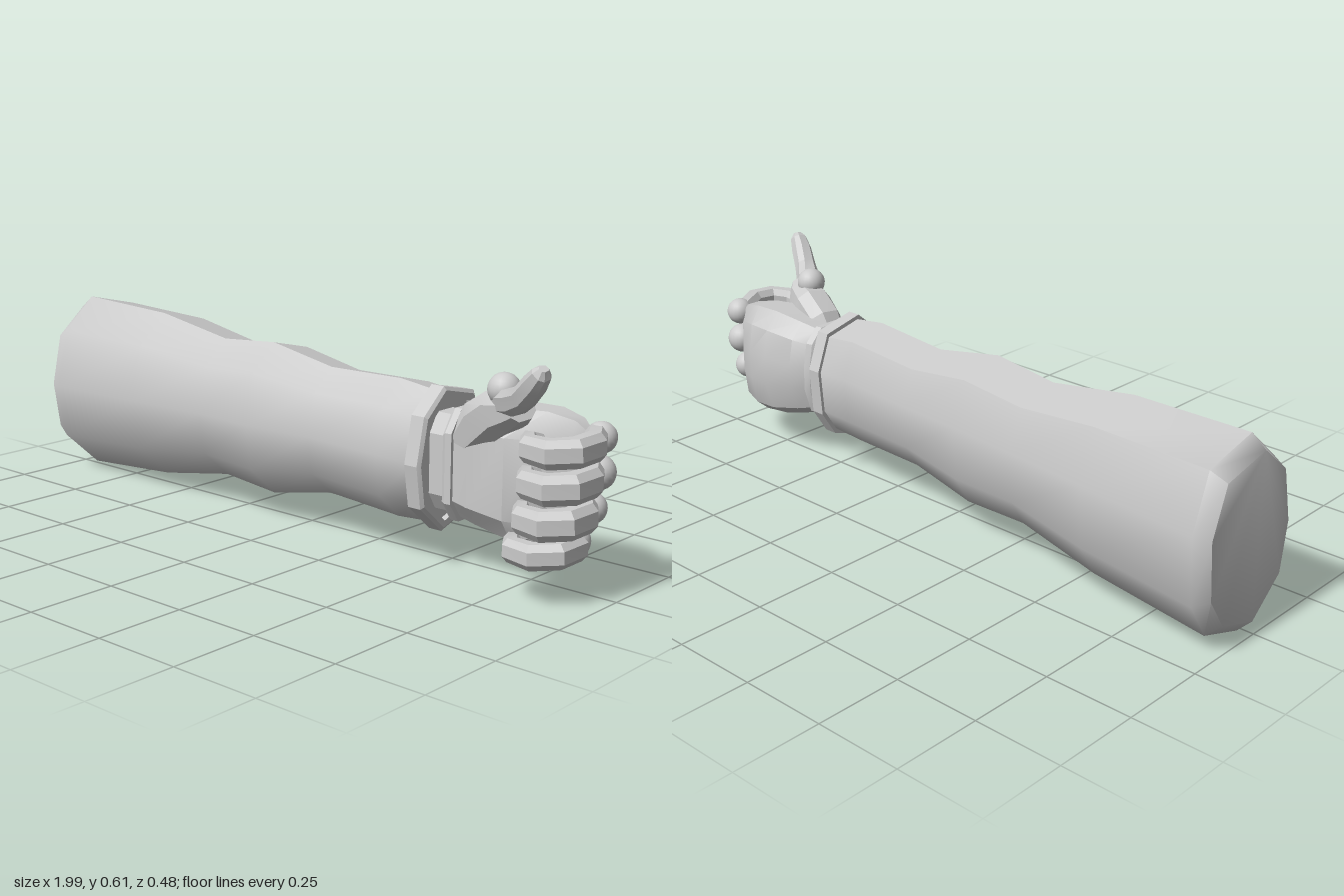
import * as THREE from 'three';
import { toCreasedNormals } from 'three/addons/utils/BufferGeometryUtils.js';

const material = new THREE.MeshStandardMaterial({ color: 0xcccccc });

// Closed skin over a series of rings, turned so that it faces outward
function loft(rings, crease) {
  const n = rings[0].length, last = rings.length - 1;
  const pts = rings.flat(), index = [];
  for (let i = 0; i < last; i++) {
    for (let j = 0; j < n; j++) {
      const k = (j + 1) % n;
      const a = i * n + j, b = i * n + k, c = a + n, d = b + n;
      index.push(a, b, d, a, d, c);
    }
  }
  for (let j = 1; j < n - 1; j++) {
    index.push(0, j + 1, j);
    index.push(last * n, last * n + j, last * n + j + 1);
  }
  let volume = 0;
  const cross = new THREE.Vector3();
  for (let i = 0; i < index.length; i += 3) {
    volume += pts[index[i]].dot(cross.crossVectors(pts[index[i + 1]], pts[index[i + 2]]));
  }
  if (volume < 0) index.reverse();
  const geo = new THREE.BufferGeometry().setFromPoints(pts);
  geo.setIndex(index);
  return toCreasedNormals(geo, crease);
}

// Irregular outline of the arm as [z, y] in the range -1 to 1
const armOutline = [[0.22, 1], [-0.7, 0.85], [-1, 0.28], [-0.92, -0.43], [-0.57, -0.82],
  [0.22, -1], [0.87, -0.6], [1, 0], [0.8, 0.65]];
const handOutline = [[0.55, 1], [-0.4, 1], [-0.85, 0.7], [-1, 0.2], [-1, -0.3],
  [-0.75, -0.8], [-0.2, -1], [0.6, -1], [1, -0.65], [1, 0.6]];

// Each section is [x, bottom, top, back, front]
function sections(list, outline) {
  return list.map(([x, y0, y1, z0, z1]) => outline.map(([z, y]) => new THREE.Vector3(
    x, (y0 + y1) / 2 + y * (y1 - y0) / 2, (z0 + z1) / 2 + z * (z1 - z0) / 2)));
}

// Eight-sided limb along a path of [x, y, z, thickness, breadth]; breadth runs along ref
function limb(path, ref) {
  const p = path.map(q => new THREE.Vector3(q[0], q[1], q[2]));
  const corners = [[0.5, 1], [1, 0.5], [1, -0.5], [0.5, -1], [-0.5, -1], [-1, -0.5], [-1, 0.5], [-0.5, 1]];
  const rings = path.map((q, i) => {
    const before = p[Math.max(i - 1, 0)], after = p[Math.min(i + 1, p.length - 1)];
    const t = after.clone().sub(before).normalize();
    const side = t.clone().cross(ref).normalize();
    const up = side.clone().cross(t).normalize();
    return corners.map(([a, b]) => p[i].clone()
      .addScaledVector(side, a * q[3]).addScaledVector(up, b * q[4]));
  });
  return loft(rings, 0.3);
}

export function createModel() {
  const model = new THREE.Group();
  const add = (name, geo, parent = model) => {
    const mesh = new THREE.Mesh(geo, material);
    mesh.name = name;
    parent.add(mesh);
    return mesh;
  };

  // Sleeve with gentle bulges and a bevelled shoulder end
  add('sleeve', loft(sections([
    [-1, 0.04, 0.505, -0.215, 0.12],
    [-0.96, 0, 0.54, -0.24, 0.13],
    [-0.6, 0.03, 0.53, -0.21, 0.14],
    [-0.33, 0.078, 0.487, -0.165, 0.125],
    [-0.12, 0.065, 0.505, -0.155, 0.145],
    [0.1, 0.108, 0.465, -0.125, 0.13],
    [0.36, 0.1, 0.475, -0.105, 0.155],
    [0.48, 0.108, 0.46, -0.1, 0.152],
  ], armOutline), 0.9));

  // Cuff band with a shallow recess
  add('cuff', loft(sections([
    [0.465, 0.09, 0.475, -0.11, 0.165],
    [0.505, 0.09, 0.475, -0.11, 0.165],
    [0.512, 0.1, 0.465, -0.1, 0.155],
    [0.512, 0.118, 0.445, -0.085, 0.14],
    [0.495, 0.118, 0.445, -0.085, 0.14],
  ], armOutline), 0.3));

  // Wrist and the flange where the hand begins
  add('wrist', loft(sections([
    [0.48, 0.155, 0.41, -0.035, 0.1],
    [0.57, 0.155, 0.41, -0.035, 0.1],
  ], handOutline), 0.4));
  add('wristFlange', loft(sections([
    [0.545, 0.14, 0.42, -0.05, 0.11],
    [0.555, 0.135, 0.43, -0.065, 0.115],
    [0.575, 0.135, 0.43, -0.07, 0.115],
  ], handOutline), 0.4));

  const hand = new THREE.Group();
  hand.name = 'hand';
  model.add(hand);
  add('palm', loft(sections([
    [0.565, 0.15, 0.42, -0.06, 0.105],
    [0.62, 0.135, 0.435, -0.088, 0.11],
    [0.72, 0.11, 0.45, -0.1, 0.095],
    [0.8, 0.105, 0.45, -0.09, 0.06],
    [0.87, 0.115, 0.435, -0.06, 0.03],
    [0.9, 0.14, 0.41, -0.035, 0.01],
  ], handOutline), 0.55), hand);

  // Curled fingers: [name, y, knuckle z, knuckle radius, outward shift, half height]
  const yAxis = new THREE.Vector3(0, 1, 0);
  const fingers = [
    ['index', 0.398, -0.02, 0.04, 0.005, 0.036],
    ['middle', 0.31, -0.02, 0.045, 0, 0.038],
    ['ring', 0.22, -0.01, 0.041, -0.01, 0.038],
    ['little', 0.138, 0.022, 0.043, -0.035, 0.033],
  ];
  for (const [name, y, z, r, dx, h] of fingers) {
    const ball = add(name + 'Knuckle', new THREE.SphereGeometry(r, 20, 14), hand);
    ball.position.set(0.92 + dx, y, z);
    add(name + 'Finger', limb([
      [0.91 + dx, y, z + 0.005, 0.027, h * 0.9],
      [0.955 + dx, y, 0.065, 0.03, h],
      [0.95 + dx, y - 0.003, 0.135, 0.03, h],
      [0.9 + dx, y - 0.008, 0.175, 0.028, h],
      [0.835 + dx, y - 0.008, 0.162, 0.026, h * 0.92],
      [0.808 + dx, y - 0.008, 0.12, 0.024, h * 0.85],
      [0.82 + dx, y - 0.008, 0.085, 0.014, h * 0.55],
    ], yAxis), hand);
  }

  // Thumb: fleshy base, joint ball and raised tip
  const zAxis = new THREE.Vector3(0, 0, 1);
  add('thumbBase', limb([
    [0.58, 0.34, 0.06, 0.04, 0.045],
    [0.64, 0.405, 0.065, 0.062, 0.055],
    [0.7, 0.445, 0.08, 0.058, 0.055],
    [0.76, 0.462, 0.105, 0.042, 0.044],
    [0.79, 0.475, 0.125, 0.032, 0.034],
  ], zAxis), hand);
  const joint = add('thumbJoint', new THREE.SphereGeometry(0.042, 20, 14), hand);
  joint.position.set(0.725, 0.508, 0.105);
  add('thumb', limb([
    [0.72, 0.475, 0.1, 0.032, 0.033],
    [0.79, 0.495, 0.15, 0.033, 0.033],
    [0.835, 0.518, 0.18, 0.029, 0.029],
    [0.88, 0.56, 0.205, 0.028, 0.027],
    [0.905, 0.588, 0.216, 0.022, 0.022],
    [0.913, 0.602, 0.22, 0.01, 0.012],
  ], zAxis), hand);

  return model;
}
